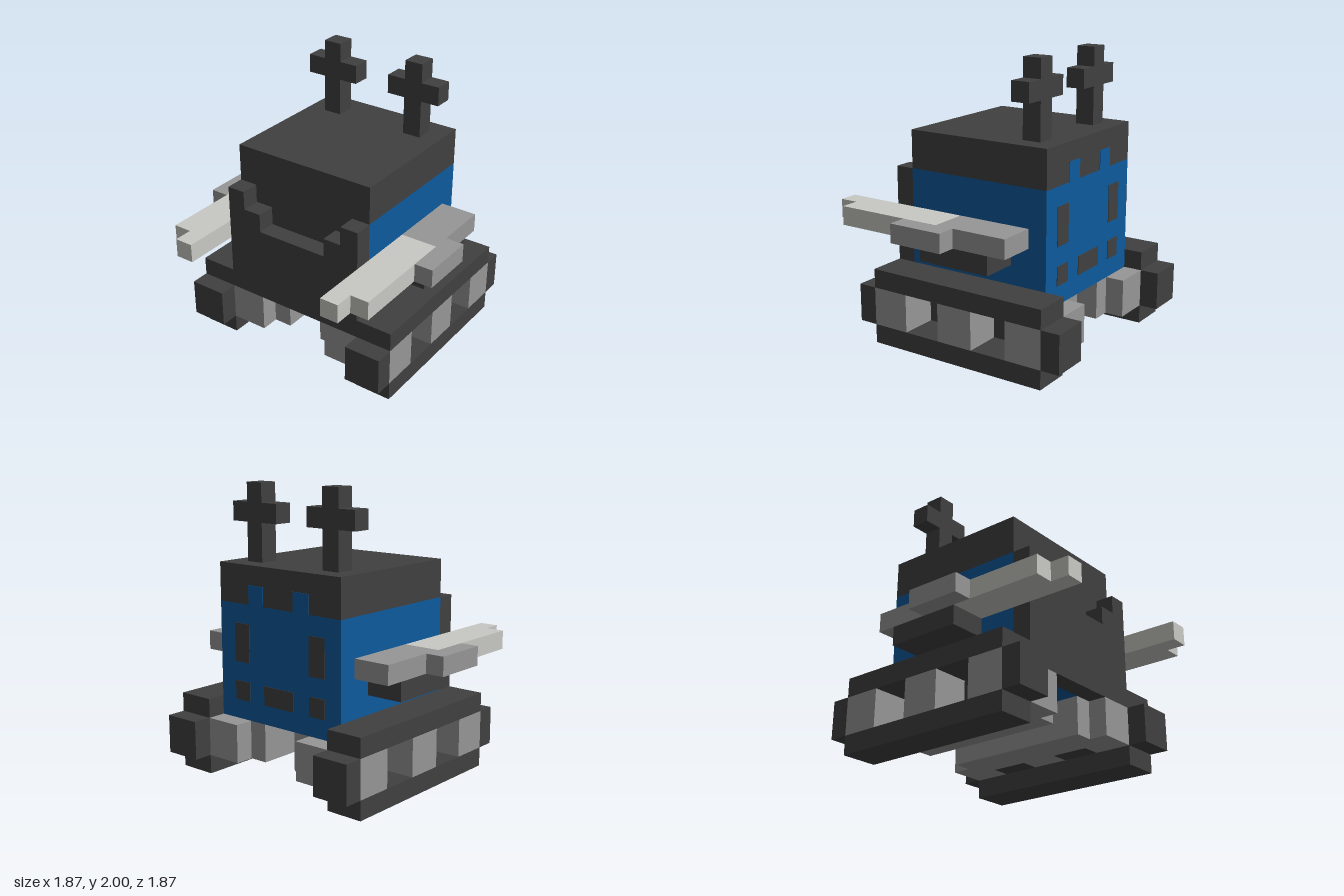
import * as THREE from 'three';

const U = 2 / 15; // one block

export function createModel() {
  const mat = (name, color) => {
    const m = new THREE.MeshStandardMaterial({ color });
    m.name = name;
    return m;
  };
  const dark = mat('charcoal', 0x404040);
  const blue = mat('blue', 0x0d5a9e);
  const grey = mat('grey', 0x969696);
  const light = mat('light grey', 0xc8c8c4);

  const model = new THREE.Group();
  model.name = 'trackedRobot';

  // Box from block ranges [min, max] on each axis
  function box(parent, name, material, [x0, x1], [y0, y1], [z0, z1]) {
    const geo = new THREE.BoxGeometry((x1 - x0) * U, (y1 - y0) * U, (z1 - z0) * U);
    const mesh = new THREE.Mesh(geo, material);
    mesh.position.set((x0 + x1) / 2 * U, (y0 + y1) / 2 * U, (z0 + z1) / 2 * U);
    mesh.name = name;
    parent.add(mesh);
    return mesh;
  }

  // Body: blue with a dark front face, dark lid on top
  const body = new THREE.Group();
  body.name = 'body';
  model.add(body);
  box(body, 'torso', [blue, blue, blue, blue, dark, blue], [-4, 4], [3, 9], [-5, 3]);
  box(body, 'lid', dark, [-4, 4], [9, 11], [-5, 3]);

  // Stepped front plate
  box(body, 'frontPlate', dark, [-4, 4], [3, 7], [3, 4]);

  // Thin painted panels on the back
  const backZ = [-5.03, -5];
  box(body, 'backGrille', dark, [-1, 1], [4, 5], backZ);

  for (const s of [1, -1]) {
    const side = new THREE.Group();
    side.name = s > 0 ? 'leftSide' : 'rightSide';
    model.add(side);
    const part = (name, material, x, y, z) =>
      box(side, name, material, s > 0 ? x : [-x[1], -x[0]], y, z);

    part('plateStep', dark, [2, 3], [7, 8], [3, 4]);
    part('plateHorn', dark, [3, 4], [7, 9], [3, 4]);

    part('backTab', blue, [1, 2], [9, 10], backZ);
    part('backSlot', dark, [2, 3], [6, 8], backZ);
    part('backVent', dark, [2, 3], [4, 5], backZ);

    // Cross-shaped antenna
    part('antennaMast', dark, [2, 3], [11, 15], [-4, -3]);
    part('antennaInnerBar', dark, [1, 2], [13, 14], [-4, -3]);
    part('antennaOuterBar', dark, [3, 4], [13, 14], [-4, -3]);

    // Arm with its bracket below
    part('armBracket', dark, [4, 6], [5, 6], [-3, 1]);
    part('upperArm', grey, [4, 6], [6, 7], [-4, 0]);
    part('elbowGuard', grey, [6, 7], [6, 7], [-1, 2]);
    part('forearm', light, [4, 6], [6, 7], [0, 6]);
    part('finger', light, [4, 5], [6, 7], [6, 7]);

    // Track: rails, rounded-off ends, wheels and recessed gaps
    part('lowerTrack', dark, [4, 6], [0, 1], [-6, 4]);
    part('upperTrack', dark, [4, 6], [3, 4], [-6, 4]);
    part('frontTrack', dark, [4, 6], [1, 3], [4, 5]);
    part('rearTrack', dark, [4, 6], [1, 3], [-7, -6]);
    for (const z of [2, -2, -6]) part('wheel', grey, [3, 6], [1, 3], [z, z + 2]);
    for (const z of [0, -4]) part('wheelGap', dark, [3, 4], [1, 3], [z, z + 2]);
    part('innerFrame', grey, [2, 3], [1, 3], [-6, 4]);
    part('innerHub', grey, [1, 2], [1, 3], [-5, 3]);
  }

  return model;
}
